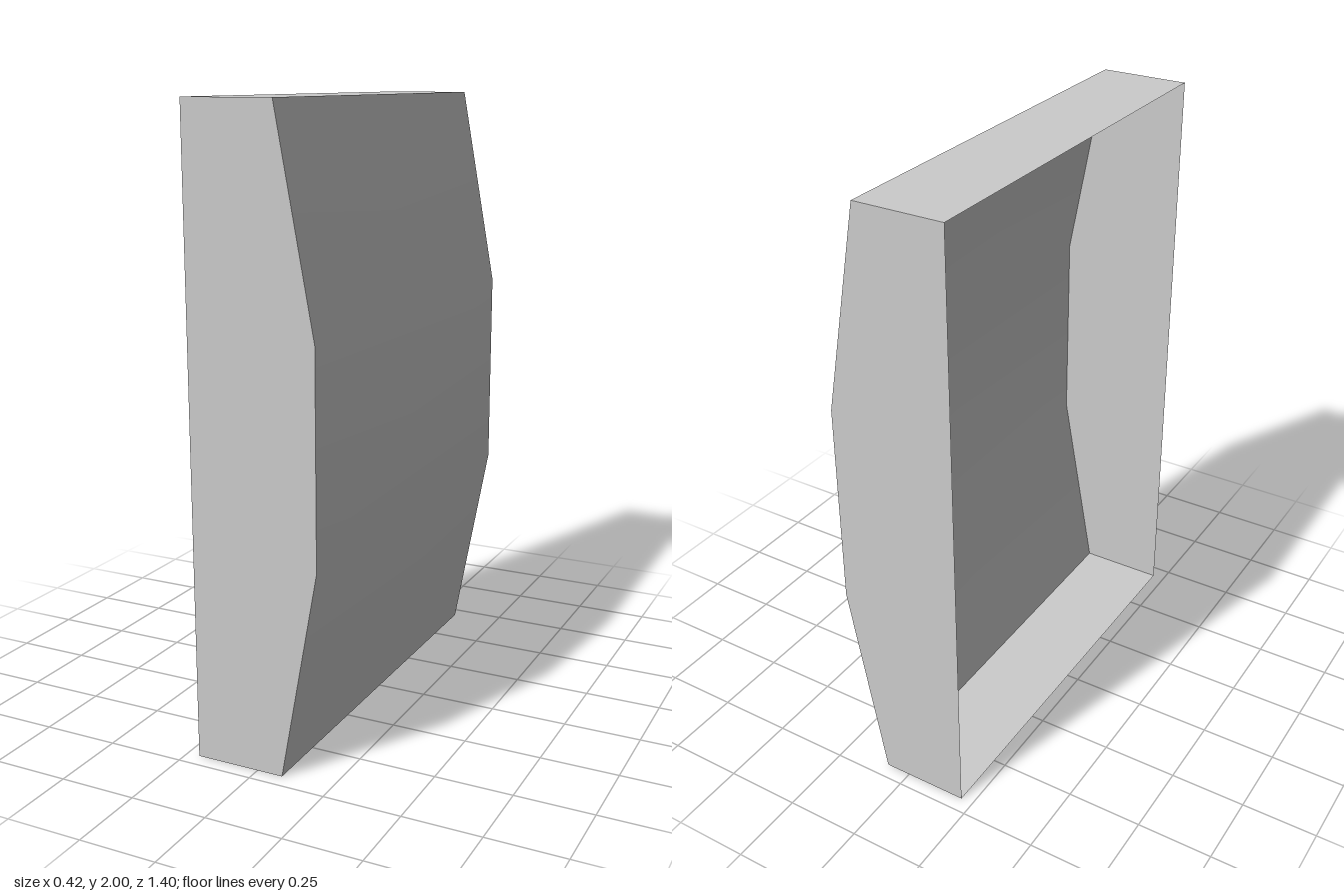
import * as THREE from 'three';

const BACK = -0.208, EDGE = 0.085, BULGE = 0.208; // x positions of the profile
const H = 1, THIRD = 1 / 3, D = 0.7;              // half height, bend height, half depth

export function createModel() {
  const model = new THREE.Group();
  model.name = 'openShell';
  const material = new THREE.MeshStandardMaterial({ color: 0xcccccc, side: THREE.DoubleSide });

  const add = (name, geometry, turn = 0) => {
    const mesh = new THREE.Mesh(geometry, material);
    mesh.name = name;
    mesh.position.y = H;
    mesh.rotation.x = turn;
    model.add(mesh);
  };

  // Bulged panel: three strips, the outer two slanting back, with smooth normals
  const panel = new THREE.PlaneGeometry(2 * D, 2 * H, 1, 3).rotateY(Math.PI / 2);
  const pos = panel.attributes.position;
  const slope = Math.atan2(BULGE - EDGE, H - THIRD);
  for (let i = 0; i < pos.count; i++) {
    const y = pos.getY(i);
    const outer = Math.abs(y) > 0.5;
    const tilt = Math.sign(y) * slope * (outer ? 1 : 0.5);
    pos.setX(i, outer ? EDGE : BULGE);
    panel.attributes.normal.setXYZ(i, Math.cos(tilt), Math.sin(tilt), 0);
  }
  add('bulgedPanel', panel);

  // Flat end walls, cut to the bulged profile
  const profile = new THREE.Shape([
    [BACK, -H], [EDGE, -H], [BULGE, -THIRD], [BULGE, THIRD], [EDGE, H], [BACK, H],
  ].map(([x, y]) => new THREE.Vector2(x, y)));
  const end = new THREE.ShapeGeometry(profile).translate(0, 0, D);
  add('frontEndWall', end);
  add('rearEndWall', end, Math.PI);

  // Top and bottom walls; the -x side stays open
  const wall = new THREE.PlaneGeometry(EDGE - BACK, 2 * D)
    .rotateX(-Math.PI / 2)
    .translate((EDGE + BACK) / 2, H, 0);
  add('topWall', wall);
  add('bottomWall', wall, Math.PI);

  return model;
}
